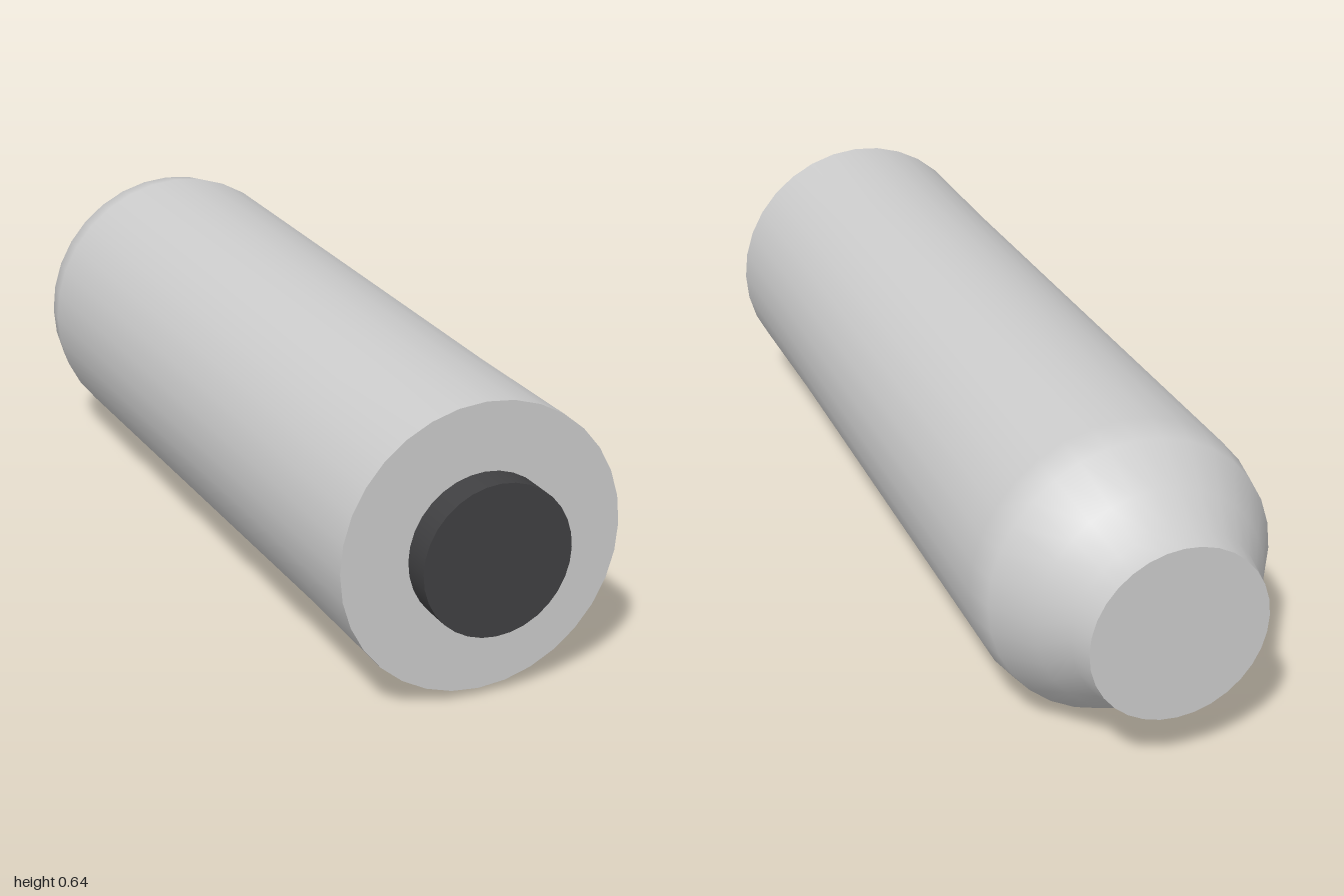
import * as THREE from 'three';

const SEGMENTS = 32;
const AXIS_Y = 0.322;

export function createModel() {
  const group = new THREE.Group();
  const grey = new THREE.MeshStandardMaterial({ color: 0xcccccc });
  const dark = new THREE.MeshStandardMaterial({ color: 0x404042 });

  const add = (name, geometry, material, z = 0) => {
    const mesh = new THREE.Mesh(geometry, material);
    mesh.name = name;
    mesh.position.set(0, AXIS_Y, z);
    group.add(mesh);
    return mesh;
  };

  // Tapered body with a rounded shoulder and a short neck: [radius, z], back to front
  const profile = [
    [0.193, -1], [0.205, -0.94], [0.25, -0.865], [0.31, -0.77],
    [0.322, -0.7], [0.305, 0.6], [0.305, 0.935],
  ].map(([r, z]) => new THREE.Vector2(r, z));
  add('body', new THREE.LatheGeometry(profile, SEGMENTS).rotateX(Math.PI / 2), grey);

  // Flat end faces
  add('frontFace', new THREE.CircleGeometry(0.305, SEGMENTS), grey, 0.935);
  add('neckFace', new THREE.CircleGeometry(0.193, SEGMENTS).rotateY(Math.PI), grey, -1);

  // Dark button protruding from the front face
  add('frontButton', new THREE.CylinderGeometry(0.161, 0.161, 0.07, SEGMENTS).rotateX(Math.PI / 2), dark, 0.965);

  return group;
}
